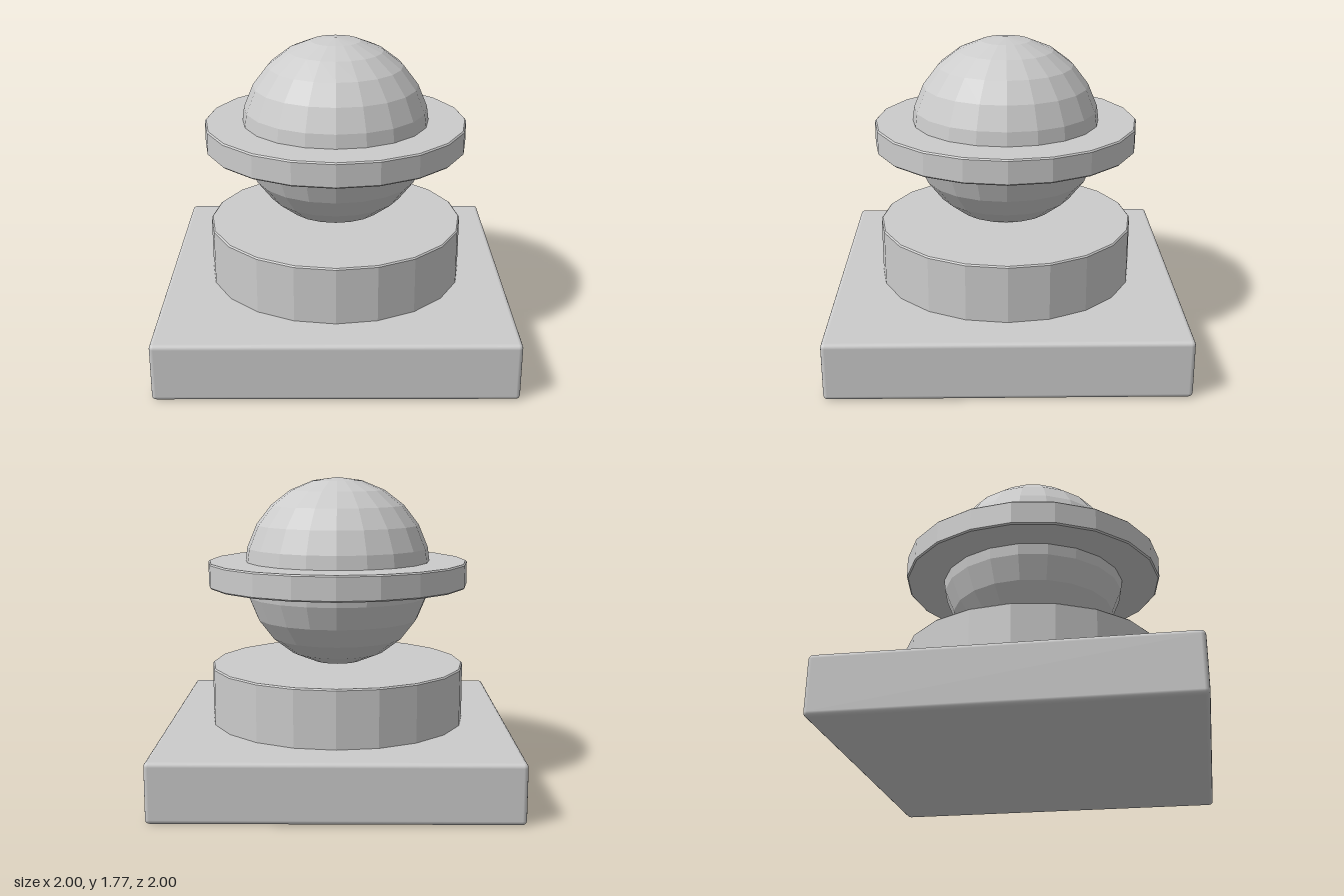
import * as THREE from 'three';
import { RoundedBoxGeometry } from 'three/addons/geometries/RoundedBoxGeometry.js';

const SIDES = 20;

export function createModel() {
  const model = new THREE.Group();
  const smooth = new THREE.MeshStandardMaterial({ color: 0xcccccc });
  const faceted = new THREE.MeshStandardMaterial({ color: 0xcccccc, flatShading: true });

  function add(name, geometry, material, y) {
    const mesh = new THREE.Mesh(geometry, material);
    mesh.name = name;
    mesh.position.y = y;
    model.add(mesh);
  }

  // Faceted disc centred on its height, with a small bevel on both rims
  function disc(radius, height, bevel) {
    const h = height / 2;
    const profile = [
      [0, -h], [radius - bevel, -h], [radius, -h + bevel],
      [radius, h - bevel], [radius - bevel, h], [0, h],
    ].map(([x, y]) => new THREE.Vector2(x, y));
    return new THREE.LatheGeometry(profile, SIDES);
  }

  // Square plinth with softened edges
  add('plinth', new RoundedBoxGeometry(2, 0.335, 2, 2, 0.025), smooth, 0.1675);

  // Round drum, sunk slightly into the plinth
  add('drum', disc(0.752, 0.36, 0.008), faceted, 0.49);

  // Ball resting on the drum
  add('ball', new THREE.SphereGeometry(0.554, SIDES, 12), faceted, 1.22);

  // Flat collar around the middle of the ball
  add('collar', disc(0.768, 0.145, 0.008), faceted, 1.212);

  return model;
}
